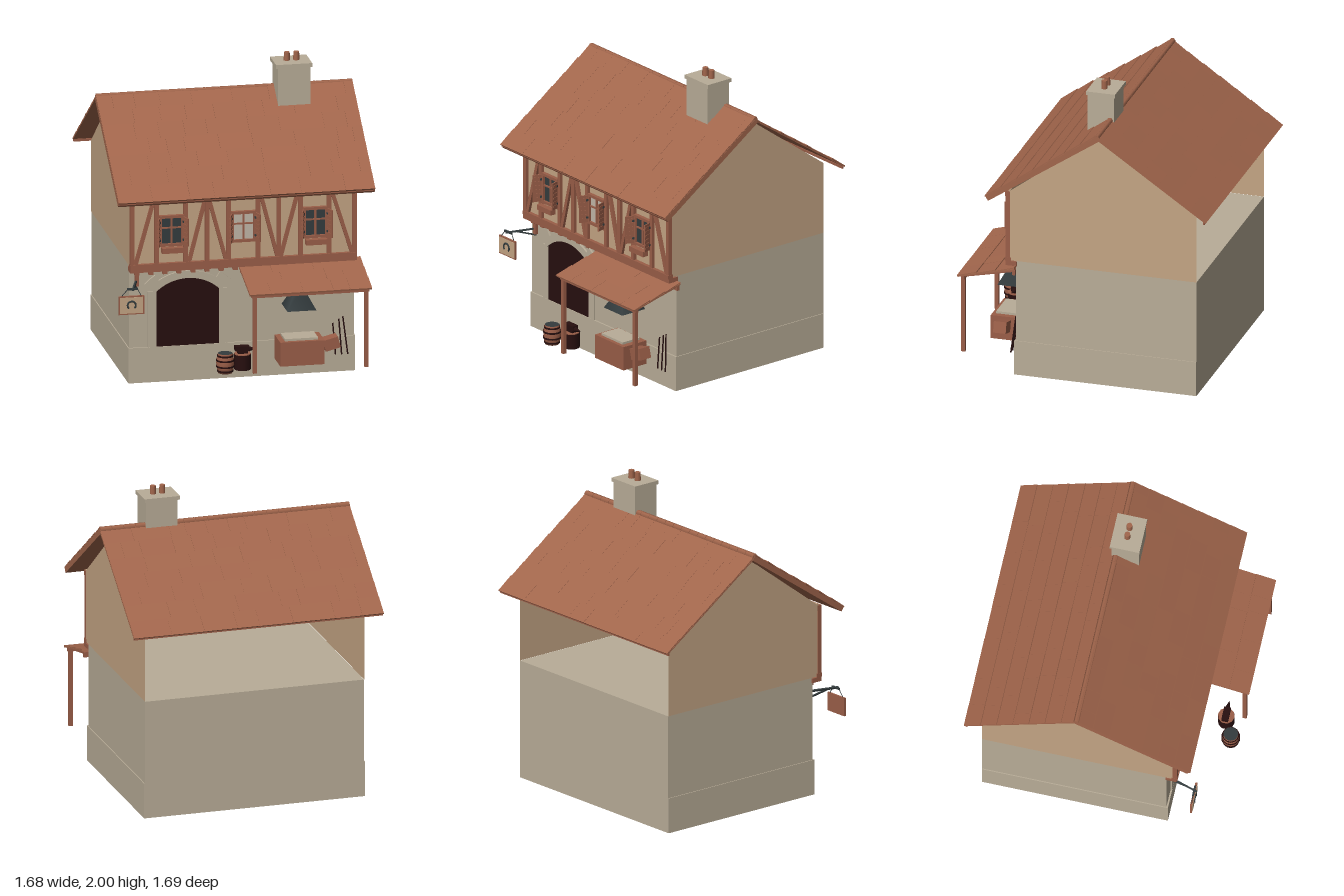
import * as THREE from 'three';
import { mergeGeometries } from 'three/addons/utils/BufferGeometryUtils.js';

const mat = (name, color, side = THREE.FrontSide) => {
  const m = new THREE.MeshStandardMaterial({ color, side });
  m.name = name;
  return m;
};

export function createModel() {
  const root = new THREE.Group();
  root.name = 'workshopHouse';
  const stone = mat('stone', 0xb9ad98);
  const plaster = mat('plaster', 0xc4a584, THREE.DoubleSide);
  const wood = mat('wood', 0x9a5e48);
  const tile = mat('roofTile', 0xa2664c);
  const dark = mat('darkOpening', 0x270f0f);
  const iron = mat('iron', 0x343c3e);
  const pale = mat('paleGlass', 0xc2b7a8);

  let seed = 7;
  const rnd = () => (seed = (seed * 16807) % 2147483647) / 2147483647;

  const add = (name, geo, m, x = 0, y = 0, z = 0, parent = root) => {
    const mesh = new THREE.Mesh(geo, m);
    mesh.name = name;
    mesh.position.set(x, y, z);
    parent.add(mesh);
    return mesh;
  };
  const box = (name, m, w, h, d, x, y, z, parent) =>
    add(name, new THREE.BoxGeometry(w, h, d), m, x, y, z, parent);
  // box given by its limits
  const span = (name, m, x0, x1, y0, y1, z0, z1, parent) =>
    box(name, m, x1 - x0, y1 - y0, z1 - z0, (x0 + x1) / 2, (y0 + y1) / 2, (z0 + z1) / 2, parent);
  // square or round bar between two points
  const bar = (name, m, a, b, w, sides = 0, parent = root) => {
    const p = new THREE.Vector3(...a), q = new THREE.Vector3(...b), len = p.distanceTo(q);
    const geo = sides ? new THREE.CylinderGeometry(w / 2, w / 2, len, sides) : new THREE.BoxGeometry(w, len, w);
    const mesh = add(name, geo, m, 0, 0, 0, parent);
    mesh.position.copy(p).add(q).multiplyScalar(0.5);
    mesh.quaternion.setFromUnitVectors(new THREE.Vector3(0, 1, 0), q.sub(p).normalize());
    return mesh;
  };

  // Stone ground floor
  span('groundFloor', stone, -0.736, 0.736, 0, 0.79, -0.745, 0.466);
  span('plinth', stone, -0.742, 0.742, 0, 0.235, -0.743, 0.477);

  // Arched doorway with stone surround
  const cx = -0.355, cy = 0.382, r = 0.303, half = Math.asin(0.205 / r);
  const door = new THREE.Shape();
  door.moveTo(cx - 0.205, 0.235);
  door.lineTo(cx + 0.205, 0.235);
  door.absarc(cx, cy, r, Math.PI / 2 - half, Math.PI / 2 + half, false);
  door.closePath();
  add('doorway', new THREE.ShapeGeometry(door, 16), dark, 0, 0, 0.472);
  for (const s of [-1, 1]) box('doorJamb', stone, 0.055, 0.37, 0.012, cx + s * 0.2325, 0.42, 0.47);
  const stones = 7, step = (2 * half + 0.1) / stones;
  for (let i = 0; i < stones; i++) {
    const a0 = Math.PI / 2 - half - 0.05 + i * step, a1 = a0 + step;
    const outer = i === 0 || i === stones - 1 ? 0.395 : 0.352;
    const s = new THREE.Shape();
    s.absarc(cx, cy, outer, a0, a1, false);
    s.absarc(cx, cy, r, a1, a0, true);
    s.closePath();
    add('archStone', new THREE.ExtrudeGeometry(s, { depth: 0.02, bevelEnabled: false, curveSegments: 4 }), stone, 0, 0, 0.46);
  }

  // Plaster upper floor, open at the back
  span('upperFrontWall', plaster, -0.738, 0.738, 0.79, 1.28, 0.503, 0.515);
  const gable = new THREE.Shape([[0.512, 0.79], [0.512, 1.27], [-0.11, 1.735], [-0.745, 1.27], [-0.745, 0.79]]
    .map(([z, y]) => new THREE.Vector2(-z, y)));
  for (const s of [-1, 1]) {
    add('gableWall', new THREE.ShapeGeometry(gable), plaster, s * 0.738, 0, 0).rotation.y = Math.PI / 2;
  }

  // Timber frame
  const frame = new THREE.Group();
  frame.name = 'timberFrame';
  root.add(frame);
  span('sillBeam', wood, -0.742, 0.742, 0.755, 0.785, 0.46, 0.535, frame);
  span('lowerRail', wood, -0.742, 0.742, 0.785, 0.81, 0.5, 0.54, frame);
  span('topRail', wood, -0.742, 0.742, 1.235, 1.27, 0.505, 0.538, frame);
  for (let i = 0; i < 16; i++) box('joistEnd', wood, 0.03, 0.03, 0.04, -0.69 + i * 0.092, 0.741, 0.48, frame);
  for (const x of [-0.727, -0.568, -0.378, -0.238, -0.098, 0.095, 0.232, 0.373, 0.56, 0.727])
    box('post', wood, 0.027, 0.44, 0.03, x, 1.022, 0.522, frame);
  for (const [x0, x1] of [[-0.705, -0.585], [-0.355, -0.245], [-0.115, -0.23], [0.222, 0.112], [0.245, 0.358], [0.71, 0.575]])
    bar('brace', wood, [x0, 0.81, 0.522], [x1, 1.24, 0.522], 0.024, 0, frame);

  // Windows with open shutters
  [-0.472, 0, 0.47].forEach((x, i) => {
    const w = new THREE.Group();
    w.name = 'window';
    w.position.set(x, 1.025, 0.515);
    root.add(w);
    box('pane', i === 1 ? pale : iron, 0.14, 0.19, 0.008, 0, 0, 0.006, w);
    for (const s of [-1, 1]) {
      box('windowSide', wood, 0.018, 0.2, 0.026, s * 0.072, 0, 0.012, w);
      box('windowRail', wood, 0.16, 0.018, 0.026, 0, s * 0.094, 0.012, w);
      const shutter = new THREE.Group();
      shutter.name = 'shutter';
      shutter.position.set(s * 0.079, 0, 0.024);
      shutter.rotation.y = -s * 1.25;
      w.add(shutter);
      box('shutterPanel', wood, 0.06, 0.185, 0.008, s * 0.03, 0, 0, shutter);
      for (let k = 0; k < 6; k++) box('shutterSlat', wood, 0.045, 0.012, 0.014, s * 0.03, -0.07 + k * 0.028, 0, shutter);
      for (const y of [-0.06, 0.06]) box('hinge', iron, 0.014, 0.014, 0.016, s * 0.006, y, 0, shutter);
    }
    box('mullion', wood, 0.012, 0.18, 0.014, 0, 0, 0.012, w);
    box('glazingBar', wood, 0.13, 0.01, 0.014, 0, 0.02, 0.012, w);
    if (i !== 1) box('windowBox', wood, 0.14, 0.035, 0.04, 0, -0.12, 0.05, w);
  });

  // Tiled slope: runs from its top edge down local +z
  const slope = (name, width, x, [z0, y0], [z1, y1], thick, rows) => {
    const g = new THREE.Group(), run = Math.abs(z1 - z0), len = Math.hypot(run, y0 - y1), row = len / rows;
    g.name = name;
    g.position.set(x, y0, z0);
    g.rotation.order = 'YXZ';
    g.rotation.set(Math.atan2(y0 - y1, run), z1 < z0 ? Math.PI : 0, 0);
    root.add(g);
    box('roofBoard', tile, width, thick, len, 0, -thick / 2 - 0.006, len / 2, g);
    const parts = [];
    for (let k = 0; k < rows; k++) {
      for (let u = -width / 2; u < width / 2 - 0.001;) {
        let w = Math.min(0.1 + rnd() * 0.2, width / 2 - u);
        if (width / 2 - u - w < 0.06) w = width / 2 - u;
        const b = new THREE.BoxGeometry(w - 0.001, 0.007, row + 0.006);
        b.rotateX(0.03 + rnd() * 0.02);
        b.translate(u + w / 2, -0.003 + rnd() * 0.002, (k + 0.5) * row);
        parts.push(b);
        u += w;
      }
    }
    add('tiles', mergeGeometries(parts), tile, 0, 0, 0, g);
  };
  slope('frontRoof', 1.68, 0, [-0.1, 1.77], [0.645, 1.265], 0.035, 7);
  slope('backRoof', 1.68, 0, [-0.1, 1.762], [-0.84, 1.262], 0.006, 7);
  span('frontEave', wood, -0.838, 0.838, 1.245, 1.262, 0.618, 0.636);
  span('backEave', wood, -0.838, 0.838, 1.242, 1.258, -0.83, -0.818);
  for (let i = 0; i < 21; i++) {
    const ridge = add('ridgeTile', new THREE.CylinderGeometry(0.02, 0.02, 0.077, 6), tile, -0.8 + i * 0.08, 1.757, -0.102);
    ridge.rotation.z = Math.PI / 2;
  }

  // Chimney
  span('chimneyStack', stone, 0.325, 0.535, 1.63, 1.92, -0.13, 0.05);
  span('chimneyCap', stone, 0.31, 0.547, 1.92, 1.945, -0.14, 0.055);
  for (const x of [0.4, 0.462]) add('chimneyPot', new THREE.CylinderGeometry(0.019, 0.021, 0.065, 8), tile, x, 1.9675, -0.043);

  // Lean-to porch
  slope('porchRoof', 0.8, 0.378, [0.47, 0.755], [0.848, 0.662], 0.008, 3);
  span('porchBeam', wood, -0.005, 0.765, 0.63, 0.655, 0.802, 0.828);
  span('porchLedger', wood, -0.01, 0.765, 0.7, 0.735, 0.466, 0.486);
  for (const x of [0.016, 0.745]) {
    box('porchPost', wood, 0.026, 0.51, 0.026, x, 0.38, 0.815);
    bar('porchRafter', wood, [x, 0.652, 0.815], [x, 0.728, 0.475], 0.018);
  }

  // Forge with hood, flue and bellows
  span('forge', wood, 0.205, 0.495, 0.125, 0.285, 0.52, 0.71);
  span('forgeHearth', stone, 0.24, 0.457, 0.285, 0.3, 0.545, 0.685);
  const hood = add('hood', new THREE.CylinderGeometry(0.03, 0.134, 0.14, 4), iron, 0.352, 0.55, 0.585);
  hood.rotation.y = Math.PI / 4;
  bar('flue', iron, [0.352, 0.61, 0.59], [0.352, 0.71, 0.47], 0.05);
  box('bellows', wood, 0.1, 0.075, 0.085, 0.553, 0.24, 0.617).rotation.z = 0.25;

  // Leaning tools
  [[0.605, 0.592, 0.33], [0.645, 0.632, 0.355], [0.685, 0.658, 0.37]].forEach(([x0, x1, h]) => {
    bar('toolHandle', dark, [x0, 0.125, 0.517], [x1, h, 0.49], 0.01, 6);
  });

  // Barrel
  const profile = [[0.001, 0], [0.047, 0], [0.055, 0.035], [0.058, 0.065], [0.055, 0.095], [0.047, 0.13]];
  add('barrel', new THREE.LatheGeometry(profile.map((p) => new THREE.Vector2(...p)), 14), wood, -0.167, 0.125, 0.762);
  add('barrelTop', new THREE.CylinderGeometry(0.047, 0.047, 0.006, 14), iron, -0.167, 0.252, 0.762);
  for (const [y, rad] of [[0.015, 0.053], [0.045, 0.0595], [0.085, 0.0595], [0.115, 0.053]])
    add('barrelHoop', new THREE.CylinderGeometry(rad, rad, 0.011, 14), dark, -0.167, 0.125 + y, 0.762);

  // Anvil on a stump
  add('stump', new THREE.CylinderGeometry(0.055, 0.055, 0.1, 10), dark, -0.042, 0.175, 0.705);
  add('stumpTop', new THREE.CylinderGeometry(0.054, 0.054, 0.006, 10), wood, -0.042, 0.228, 0.705);
  span('anvilFoot', dark, -0.075, -0.01, 0.23, 0.255, 0.685, 0.725);
  span('anvilFace', dark, -0.092, 0.0, 0.25, 0.28, 0.683, 0.727);
  add('anvilHorn', new THREE.ConeGeometry(0.018, 0.055, 8), dark, 0.026, 0.256, 0.705).rotation.z = -Math.PI / 2;

  // Hanging trade sign with a horseshoe
  const sign = new THREE.Group();
  sign.name = 'hangingSign';
  root.add(sign);
  span('signBoard', wood, -0.842, -0.675, 0.517, 0.64, 0.643, 0.656, sign);
  span('signFace', plaster, -0.834, -0.683, 0.525, 0.632, 0.652, 0.659, sign);
  const shoe = add('horseshoe', new THREE.TorusGeometry(0.027, 0.006, 6, 16, Math.PI * 1.5), iron, -0.758, 0.579, 0.66, sign);
  shoe.rotation.z = -Math.PI / 4;
  span('wallBracket', wood, -0.7, -0.675, 0.65, 0.735, 0.462, 0.49, sign);
  bar('signArm', iron, [-0.69, 0.685, 0.47], [-0.752, 0.685, 0.67], 0.012, 0, sign);
  bar('signBrace', iron, [-0.69, 0.64, 0.47], [-0.73, 0.683, 0.6], 0.01, 0, sign);
  span('signCrossbar', iron, -0.785, -0.715, 0.68, 0.692, 0.645, 0.657, sign);
  for (const [x0, x1] of [[-0.782, -0.822], [-0.718, -0.695]])
    bar('signChain', iron, [x0, 0.685, 0.65], [x1, 0.64, 0.65], 0.005, 6, sign);

  return root;
}
